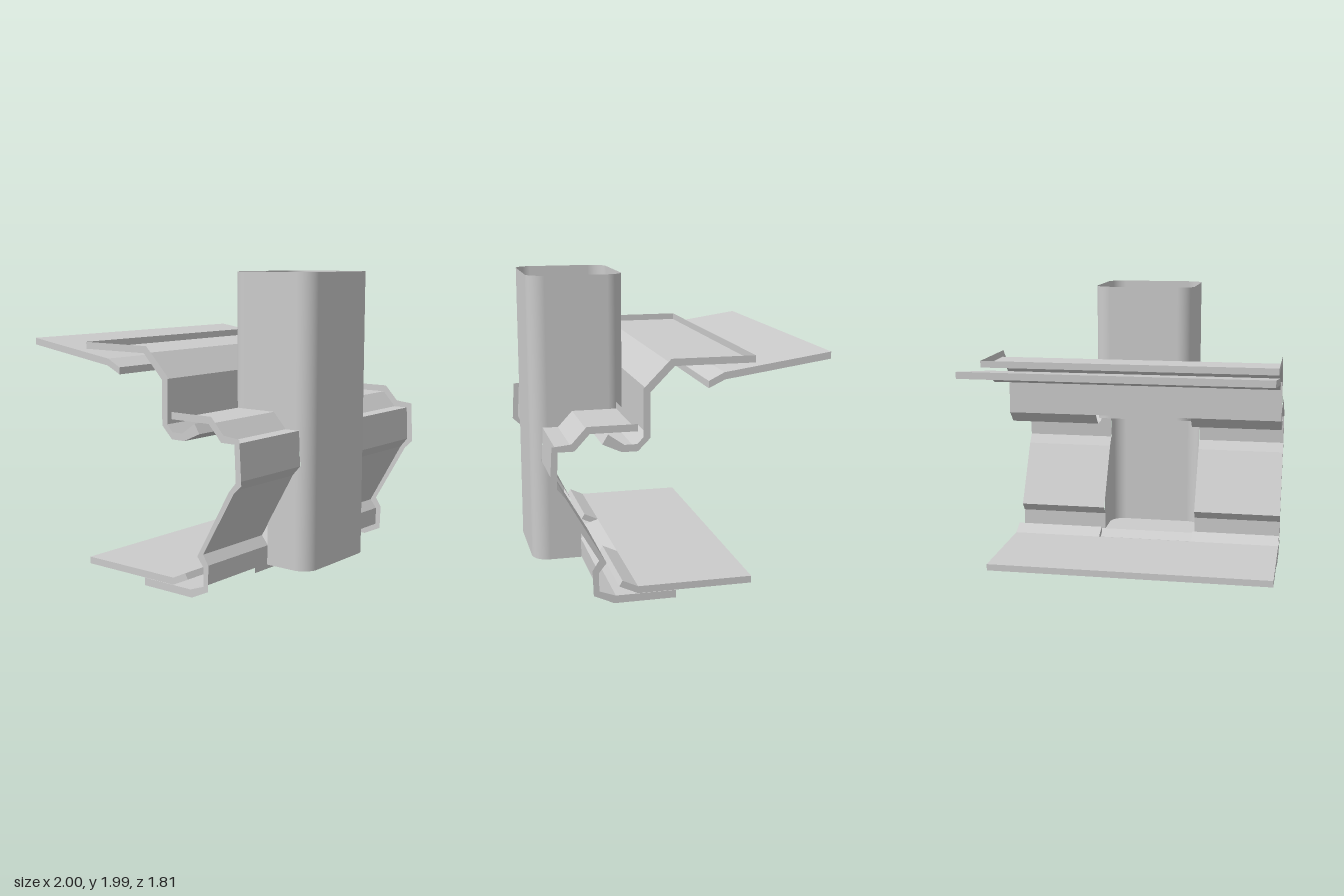
import * as THREE from 'three';

const grey = new THREE.MeshStandardMaterial({ color: 0xcccccc });
const greyThin = new THREE.MeshStandardMaterial({ color: 0xcccccc, side: THREE.DoubleSide });

// Half width, back, front, corner radius and height range of the post
const W = 0.355, ZB = 0.277, ZF = 0.907, R = 0.11, Y0 = 0.08, Y1 = 1.99;
const CUT = 0.35; // half width of the gap the sheets leave for the post

function add(group, name, geo, material) {
  const mesh = new THREE.Mesh(geo, material);
  mesh.name = name;
  group.add(mesh);
}

const toShape = profile => new THREE.Shape(profile.map(([z, y]) => new THREE.Vector2(z, y)));

// Solid plate made from a [z, y] profile, running along x
function plate(group, name, profile, x0, x1) {
  const geo = new THREE.ExtrudeGeometry(toShape(profile), { depth: x1 - x0, bevelEnabled: false });
  geo.rotateY(-Math.PI / 2).translate(x1, 0, 0);
  add(group, name, geo, grey);
}

// Open folded sheet along a [z, y] path, running along x
function sheet(group, name, path, x0, x1) {
  const pos = [];
  for (let i = 1; i < path.length; i++) {
    const [za, ya] = path[i - 1], [zb, yb] = path[i];
    pos.push(x0, ya, za, x1, ya, za, x1, yb, zb, x0, ya, za, x1, yb, zb, x0, yb, zb);
  }
  const geo = new THREE.BufferGeometry();
  geo.setAttribute('position', new THREE.Float32BufferAttribute(pos, 3));
  geo.computeVertexNormals();
  add(group, name, geo, greyThin);
}

// Flat edge that shows the sheet thickness at one end
function endEdge(group, name, profile, x) {
  const geo = new THREE.ShapeGeometry(toShape(profile));
  geo.rotateY(-Math.PI / 2).translate(x, 0, 0);
  add(group, name, geo, greyThin);
}

// Piecewise linear lookup in [z, y] pairs
function lookup(table, z) {
  if (z <= table[0][0]) return table[0][1];
  for (let i = 1; i < table.length; i++) {
    const [a, ya] = table[i - 1], [b, yb] = table[i];
    if (z <= b) return ya + (yb - ya) * (z - a) / (b - a);
  }
  return table[table.length - 1][1];
}

// Rounded rectangle outline with extra points where the cut edges bend
function postOutline(knots) {
  const pts = [];
  const corner = (cx, cz, start) => {
    for (let i = 0; i <= 32; i++) {
      const a = start + (i / 32) * Math.PI / 2;
      pts.push({ x: cx + R * Math.cos(a), z: cz + R * Math.sin(a), nx: Math.cos(a), nz: Math.sin(a) });
    }
  };
  knots.forEach(z => pts.push({ x: W, z, nx: 1, nz: 0 }));
  corner(W - R, ZF - R, 0);
  corner(-W + R, ZF - R, Math.PI / 2);
  [...knots].reverse().forEach(z => pts.push({ x: -W, z, nx: -1, nz: 0 }));
  corner(-W + R, ZB + R, Math.PI);
  corner(W - R, ZB + R, Math.PI * 1.5);
  return pts;
}

// Wall standing on an outline between a lower and an upper edge
function wall(group, name, pts, low, high) {
  const pos = [], nor = [], idx = [];
  pts.forEach((p, i) => {
    pos.push(p.x, low(p.z), p.z, p.x, high(p.z), p.z);
    nor.push(p.nx, 0, p.nz, p.nx, 0, p.nz);
    if (i > 0) {
      const a = 2 * i - 2;
      idx.push(a, a + 1, a + 2, a + 1, a + 3, a + 2);
    }
  });
  const geo = new THREE.BufferGeometry();
  geo.setAttribute('position', new THREE.Float32BufferAttribute(pos, 3));
  geo.setAttribute('normal', new THREE.Float32BufferAttribute(nor, 3));
  geo.setIndex(idx);
  add(group, name, geo, greyThin);
}

export function createModel() {
  const model = new THREE.Group();
  model.name = 'claddingWithPost';

  // Top plate at the back and floor plate
  plate(model, 'topPlate', [[-0.11, 1.39], [-0.11, 1.345], [-0.215, 1.395],
    [-0.905, 1.495], [-0.905, 1.54], [-0.21, 1.44]], -1, 1);
  plate(model, 'floorPlate', [[0.337, 0.052], [-0.41, 0.052], [-0.41, 0.098], [0.337, 0.098]], -1, 1);

  // Upper sheet: full width above, hooked foot only beside the post
  const upperBack = [[-0.41, 1.537], [-0.41, 1.492], [0.105, 1.492], [0.256, 1.338], [0.256, 1.055]];
  const hook = [[0.256, 1.055], [0.335, 0.975], [0.435, 0.975], [0.557, 1.03], [0.52, 1.09]];
  const upperFront = [[0.42, 1.02], [0.34, 1.02], [0.301, 1.06], [0.301, 1.36], [0.126, 1.537]];
  sheet(model, 'upperSheet', upperBack, -1, 1);

  // Lower sheet: full-width foot, bent wall only beside the post
  const lowerWall = [[0.335, 1.145], [0.335, 1.1], [0.632, 1.1], [0.727, 0.997], [0.828, 0.997], [0.838, 0.768],
    [0.785, 0.705], [0.537, 0.27], [0.585, 0.21], [0.585, 0.088]];
  const foot = [[0.585, 0.088], [0.48, 0.05], [0.09, 0.05]];
  const lowerFront = [[0.09, 0], [0.49, 0], [0.62, 0.06], [0.626, 0.225], [0.584, 0.29], [0.822, 0.7],
    [0.88, 0.755], [0.865, 1.03], [0.745, 1.042], [0.65, 1.145]];
  sheet(model, 'lowerSheetFoot', foot, -1, 1);

  // Ramp and rib that replace the lip under the post
  sheet(model, 'floorRamp', [[0.48, 0.052], [0.337, 0.098]], -CUT, CUT);
  sheet(model, 'floorRib', [[0.48, 0], [0.48, 0.05]], -CUT, CUT);

  for (const [label, a, b, end] of [['left', CUT, 1, 1], ['right', -1, -CUT, -1]]) {
    sheet(model, label + 'Hook', hook, a, b);
    sheet(model, label + 'LowerWall', lowerWall, a, b);
    plate(model, label + 'FloorLip', [[0.337, 0.052], [0.337, 0.098], [0.437, 0.145], [0.458, 0.108]], a, b);
    endEdge(model, label + 'UpperEdge', [...upperBack, ...hook.slice(1), ...upperFront], end);
    endEdge(model, label + 'LowerEdge', [...lowerWall, ...foot.slice(1), ...lowerFront], end);
  }

  // Hollow post, trimmed along the sheets
  const upperEdge = [[0.28, 1.03], [0.335, 1.02], [0.345, 1.1], [0.632, 1.1], [0.727, 0.997],
    [0.828, 0.997], [0.838, 0.768], [0.92, 0.768]];
  const lowerEdge = [[0.585, 0.354], [0.785, 0.705], [0.838, 0.768], [0.92, 0.768]];
  const outline = postOutline([0.585, 0.632, 0.727, 0.785]);
  wall(model, 'postUpper', [...outline, outline[0]], z => lookup(upperEdge, z), () => Y1);
  const frontPart = outline.filter(p => p.z >= 0.584);
  wall(model, 'postLower', frontPart, () => Y0, z => lookup(lowerEdge, z));

  // Closed underside of the post
  const capGeo = new THREE.ShapeGeometry(new THREE.Shape(frontPart.map(p => new THREE.Vector2(p.x, p.z))));
  capGeo.rotateX(Math.PI / 2).translate(0, Y0, 0);
  add(model, 'postBottom', capGeo, greyThin);

  return model;
}
